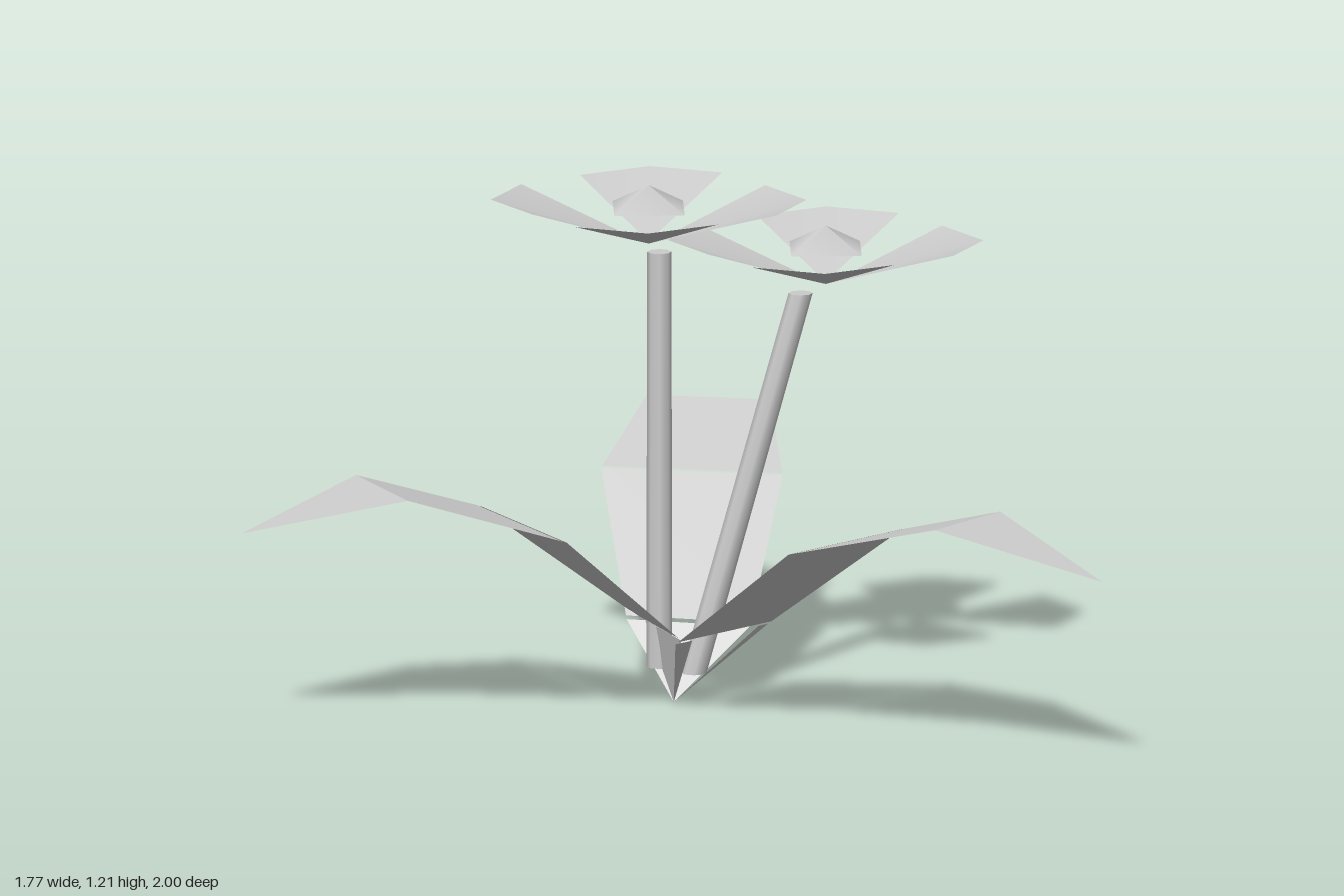
import * as THREE from 'three';

const material = new THREE.MeshStandardMaterial({ color: 0xcccccc, side: THREE.DoubleSide });

function addMesh(parent, geometry, name) {
  const mesh = new THREE.Mesh(geometry, material);
  mesh.name = name;
  parent.add(mesh);
  return mesh;
}

// Flat fan through a few corners
function fan(points) {
  const geometry = new THREE.BufferGeometry();
  geometry.setAttribute('position', new THREE.Float32BufferAttribute(points.flat(), 3));
  const index = [];
  for (let i = 1; i < points.length - 1; i++) index.push(0, i, i + 1);
  geometry.setIndex(index);
  geometry.computeVertexNormals();
  return geometry;
}

const ROOT = [0.01, 0, -0.28];

// Each leaf: left and right edge [x, z] at the three folds, then the tip.
const LEAVES = [
  { name: 'frontLeaf', folds: [[-0.1, -0.17, 0.21, -0.17], [-0.12, 0.21, 0.26, 0.21], [-0.05, 0.61, 0.2, 0.58]], tip: [0.1, 1.0], open: true },
  { name: 'rightLeaf', folds: [[0.06, -0.44, -0.06, -0.19], [-0.23, -0.67, -0.38, -0.25], [-0.54, -0.77, -0.66, -0.49]], tip: [-0.89, -0.8] },
  { name: 'leftLeaf', folds: [[0.16, -0.18, 0.02, -0.44], [0.49, -0.39, 0.26, -0.75], [0.71, -0.64, 0.55, -0.88]], tip: [0.88, -1.0] },
];
const FOLD_Y = [0.17, 0.443, 0.55];

function makeLeaf({ name, folds, tip, open }) {
  const leaf = new THREE.Group();
  leaf.name = name;
  const edges = folds.map(([ax, az, bx, bz], i) => [[ax, FOLD_Y[i], az], [bx, FOLD_Y[i], bz]]);
  const mix = (a, b, t) => a.map((v, i) => v + (b[i] - v) * t);
  const [a, b] = edges[0];

  // Pointed foot; the front one is split by an opening
  if (open) {
    addMesh(leaf, fan([ROOT, mix(a, b, 0.18), a]), 'leafFoot');
    addMesh(leaf, fan([ROOT, b, mix(a, b, 0.9)]), 'leafFoot');
  } else addMesh(leaf, fan([ROOT, b, a]), 'leafFoot');

  // Blade panels with a narrow slit at the lower folds
  for (let i = 0; i < 2; i++) {
    const [p, q] = edges[i], [r, s] = edges[i + 1];
    addMesh(leaf, fan([mix(p, r, 0.025), mix(q, s, 0.025), s, r]), 'leafPanel');
  }
  addMesh(leaf, fan([edges[2][0], edges[2][1], [tip[0], 0.463, tip[1]]]), 'leafTip');
  return leaf;
}

// Stem sheared so that both ends stay level
function makeStem(bottom, top) {
  const h = top[1] - bottom[1];
  const geometry = new THREE.CylinderGeometry(0.028, 0.03, h, 8);
  geometry.translate(0, h / 2, 0);
  const shear = new THREE.Matrix4().set(
    1, (top[0] - bottom[0]) / h, 0, bottom[0],
    0, 1, 0, bottom[1],
    0, (top[2] - bottom[2]) / h, 1, bottom[2],
    0, 0, 0, 1);
  geometry.applyMatrix4(shear);
  return geometry;
}

// Four rising petals around a low four-sided cap
function makeFlower(x, y, z) {
  const flower = new THREE.Group();
  flower.name = 'flower';
  flower.position.set(x, y, z);
  const petal = fan([[0.008, 0.004, 0.008], [0.08, 0.105, 0.33], [0.25, 0.105, 0.265], [0.3, 0.105, 0.085]]);
  for (let i = 0; i < 4; i++) {
    addMesh(flower, petal, 'petal').rotation.y = i * Math.PI / 2;
  }
  const cap = new THREE.ConeGeometry(0.115, 0.055, 4, 1, true);
  cap.translate(0, 0.1125, 0);
  addMesh(flower, cap, 'flowerCap');
  return flower;
}

export function createModel() {
  const plant = new THREE.Group();
  plant.name = 'floweringPlant';
  LEAVES.forEach((leaf) => plant.add(makeLeaf(leaf)));
  addMesh(plant, makeStem([0.035, 0.07, -0.35], [0.035, 1.05, -0.35]), 'tallStem');
  addMesh(plant, makeStem([0.04, 0.07, -0.245], [0.235, 0.96, -0.09]), 'leaningStem');
  plant.add(makeFlower(0.01, 1.07, -0.36));
  plant.add(makeFlower(0.34, 0.96, -0.11));
  return plant;
}
